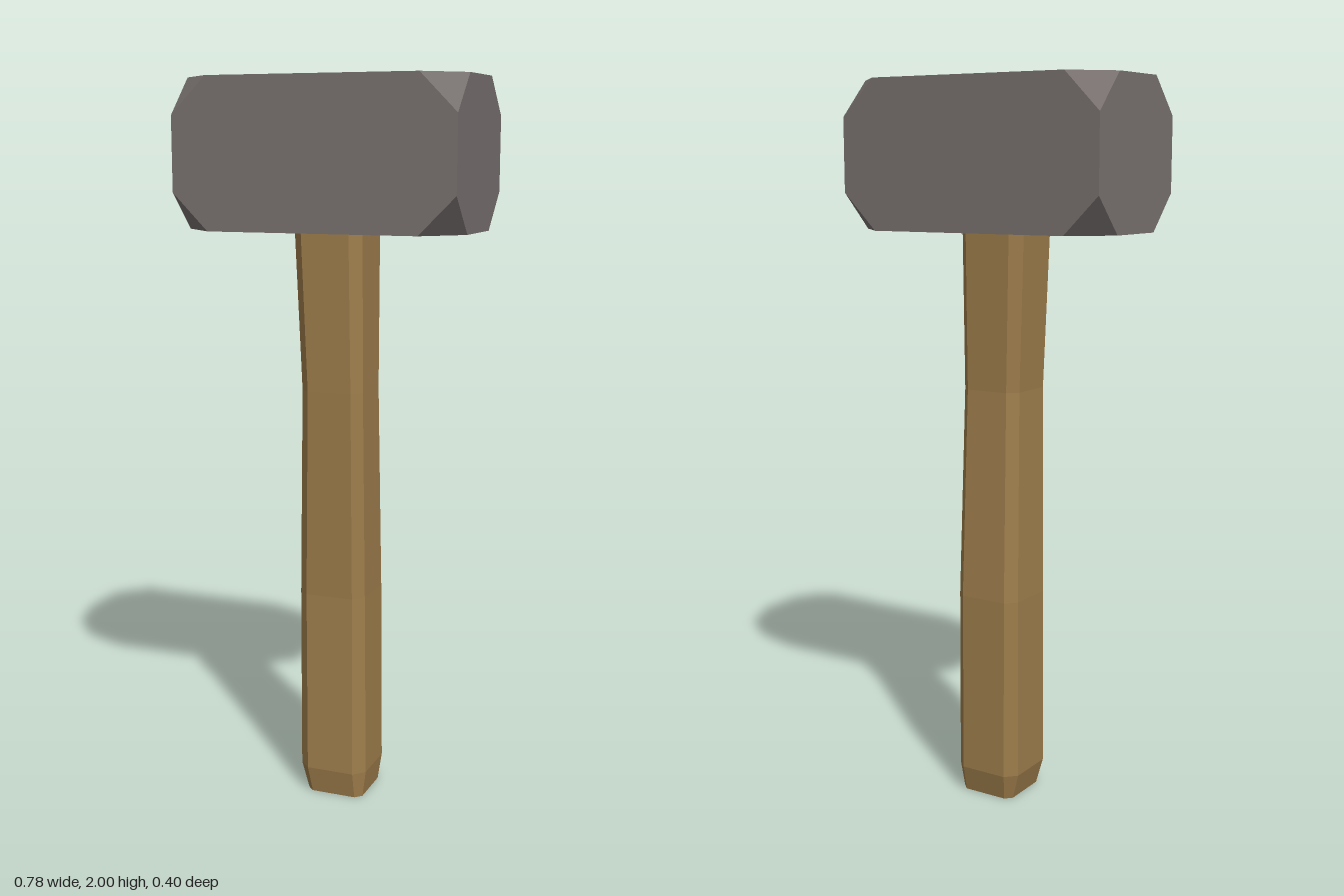
import * as THREE from 'three';
import { ConvexGeometry } from 'three/addons/geometries/ConvexGeometry.js';

const stone = new THREE.MeshStandardMaterial({ color: 0x78716f, flatShading: true });
stone.name = 'grey stone';
const wood = new THREE.MeshStandardMaterial({ color: 0x9f7e4c, flatShading: true });
wood.name = 'brown wood';

// Box with its eight corners cut off
function cutCornerBox(hx, hy, hz, cut) {
  const points = [];
  for (const sx of [-1, 1]) for (const sy of [-1, 1]) for (const sz of [-1, 1]) {
    points.push(
      new THREE.Vector3(sx * (hx - cut), sy * hy, sz * hz),
      new THREE.Vector3(sx * hx, sy * (hy - cut), sz * hz),
      new THREE.Vector3(sx * hx, sy * hy, sz * (hz - cut)));
  }
  return new ConvexGeometry(points);
}

// Square ring with chamfered corners, running from +x towards +z
function ring({ y, x, z, half, chamfer }) {
  const h = half, c = half - chamfer;
  return [[h, -c], [h, c], [c, h], [-c, h], [-h, c], [-h, -c], [-c, -h], [c, -h]]
    .map(([px, pz]) => [x + px, y, z + pz]);
}

// Skin the rings from bottom to top and cap both ends
function loft(sections) {
  const rings = sections.map(ring), n = 8, position = [];
  const tri = (...corners) => corners.forEach((p) => position.push(...p));
  for (let s = 0; s < rings.length - 1; s++) {
    const low = rings[s], up = rings[s + 1];
    for (let i = 0; i < n; i++) {
      const j = (i + 1) % n;
      tri(low[i], up[i], up[j]);
      tri(low[i], up[j], low[j]);
    }
  }
  const bottom = rings[0], top = rings[rings.length - 1];
  for (let i = 1; i < n - 1; i++) {
    tri(bottom[0], bottom[i], bottom[i + 1]);
    tri(top[0], top[i + 1], top[i]);
  }
  const geometry = new THREE.BufferGeometry();
  geometry.setAttribute('position', new THREE.Float32BufferAttribute(position, 3));
  geometry.computeVertexNormals();
  return geometry;
}

export function createModel() {
  const group = new THREE.Group();
  group.name = 'hammer';

  // Stone block
  const head = new THREE.Mesh(cutCornerBox(0.392, 0.2, 0.2, 0.1), stone);
  head.name = 'head';
  head.position.y = 1.8;
  group.add(head);

  // Slightly crooked wooden shaft with a tapered foot
  const handle = new THREE.Mesh(loft([
    { y: 0, x: 0.018, z: -0.002, half: 0.082, chamfer: 0.018 },
    { y: 0.075, x: 0.012, z: -0.005, half: 0.098, chamfer: 0.03 },
    { y: 0.59, x: 0.005, z: -0.016, half: 0.096, chamfer: 0.028 },
    { y: 1.17, x: 0.012, z: 0.008, half: 0.088, chamfer: 0.026 },
    { y: 1.61, x: 0, z: 0.001, half: 0.097, chamfer: 0.029 },
  ]), wood);
  handle.name = 'handle';
  group.add(handle);

  return group;
}
